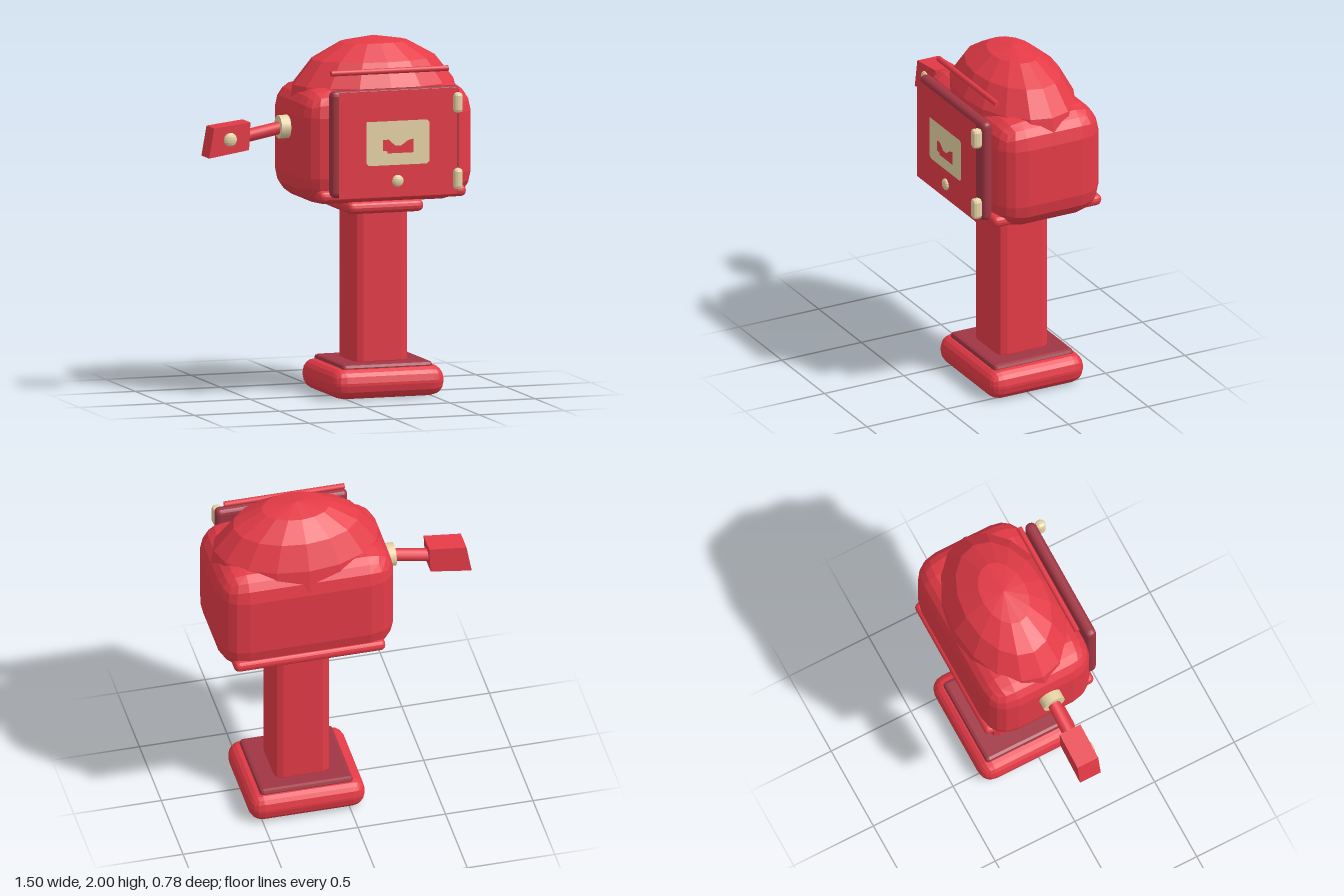
import * as THREE from 'three';
import { RoundedBoxGeometry } from 'three/addons/geometries/RoundedBoxGeometry.js';

const material = (name, color) => Object.assign(new THREE.MeshStandardMaterial({ color }), { name });

// Facet a geometry so each polygon keeps its own flat normal
function faceted(geometry) {
  const flat = geometry.index ? geometry.toNonIndexed() : geometry;
  flat.computeVertexNormals();
  return flat;
}

const outline = (points) => new THREE.Shape(points.map(([x, y]) => new THREE.Vector2(x, y)));

export function createModel() {
  const red = material('red paint', 0xe53b47);
  const maroon = material('maroon paint', 0xa03644);
  const tan = material('tan metal', 0xe8d4a6);
  const model = new THREE.Group();
  model.name = 'mailbox';

  function add(name, geometry, mat, x = 0, y = 0, z = 0) {
    const mesh = new THREE.Mesh(geometry, mat);
    mesh.name = name;
    mesh.position.set(x, y, z);
    model.add(mesh);
    return mesh;
  }

  // Rounded block given by its extents on each axis
  function block(name, mat, [x0, x1], [y0, y1], [z0, z1], radius, segments = 2) {
    const g = new RoundedBoxGeometry(x1 - x0, y1 - y0, z1 - z0, segments, radius);
    return add(name, faceted(g), mat, (x0 + x1) / 2, (y0 + y1) / 2, (z0 + z1) / 2);
  }

  // Cylinder running between two points
  function rod(name, mat, from, to, radius, sides = 12) {
    const a = new THREE.Vector3(...from), b = new THREE.Vector3(...to);
    const dir = b.clone().sub(a);
    const mesh = add(name, new THREE.CylinderGeometry(radius, radius, dir.length(), sides), mat);
    mesh.position.copy(a).add(b).multiplyScalar(0.5);
    mesh.quaternion.setFromUnitVectors(new THREE.Vector3(0, 1, 0), dir.normalize());
    return mesh;
  }

  // Flat painted face looking towards +z
  const decal = (name, mat, points, z) => add(name, new THREE.ShapeGeometry(outline(points)), mat, 0, 0, z);

  function knob(name, x, y, z, radius) {
    const g = new THREE.SphereGeometry(radius, 12, 8).scale(1, 1, 0.5);
    return add(name, faceted(g), tan, x, y, z);
  }

  // Stand
  block('base', red, [-0.093, 0.573], [0, 0.175], [-0.352, 0.252], 0.08);
  block('basePlate', maroon, [-0.025, 0.507], [0.14, 0.195], [-0.3, 0.2], 0.02, 1);
  block('post', red, [0.08, 0.4], [0.15, 1.09], [-0.207, 0.112], 0.048, 1);
  block('postCollar', red, [0.015, 0.465], [1.03, 1.1], [-0.275, 0.18], 0.034);

  // Box with its domed lid and the floor tray that pokes out front and back
  block('body', red, [-0.267, 0.747], [1.09, 1.75], [-0.387, 0.277], 0.16);
  block('floorTray', red, [-0.19, 0.675], [1.12, 1.185], [-0.392, 0.292], 0.03);
  const dome = new THREE.SphereGeometry(1, 16, 8).scale(0.507, 0.42, 0.335);
  add('domedLid', faceted(dome), red, 0.243, 1.58, -0.053);
  rod('lidRod', red, [-0.102, 1.835, 0.225], [0.585, 1.835, 0.225], 0.016, 10);

  // Door with a painted face, hinges and knob
  block('door', maroon, [-0.137, 0.62], [1.15, 1.75], [0.27, 0.335], 0.03);
  decal('doorFace', red, [[-0.102, 1.15], [0.59, 1.15], [0.59, 1.745], [-0.102, 1.745]], 0.364);
  for (const [y0, y1] of [[1.173, 1.293], [1.603, 1.718]])
    block('hinge', tan, [0.567, 0.62], [y0, y1], [0.333, 0.39], 0.019, 1);
  knob('doorKnob', 0.241, 1.238, 0.367, 0.034);

  // Label plate with an envelope-shaped inset
  decal('labelPlate', tan, [[0.072, 1.328], [0.412, 1.328], [0.427, 1.343], [0.427, 1.56],
    [0.412, 1.575], [0.057, 1.575], [0.057, 1.343]], 0.369);
  decal('envelopeInset', red, [[0.178, 1.395], [0.332, 1.395], [0.332, 1.472], [0.3, 1.465], [0.26, 1.437],
    [0.225, 1.437], [0.185, 1.472], [0.153, 1.472], [0.153, 1.411], [0.178, 1.407]], 0.373);

  // Signal flag on the right side
  rod('flagMount', tan, [-0.322, 1.513, -0.035], [-0.255, 1.513, -0.035], 0.066, 16);
  rod('flagArm', red, [-0.29, 1.513, -0.035], [-0.53, 1.467, -0.035], 0.037, 12);
  const flag = outline([[-0.75, 1.363], [-0.515, 1.4], [-0.507, 1.555], [-0.72, 1.53]]);
  add('flag', new THREE.ExtrudeGeometry(flag, { depth: 0.13, bevelEnabled: false }), red, 0, 0, -0.1);
  knob('flagKnob', -0.625, 1.463, 0.031, 0.039);

  return model;
}
